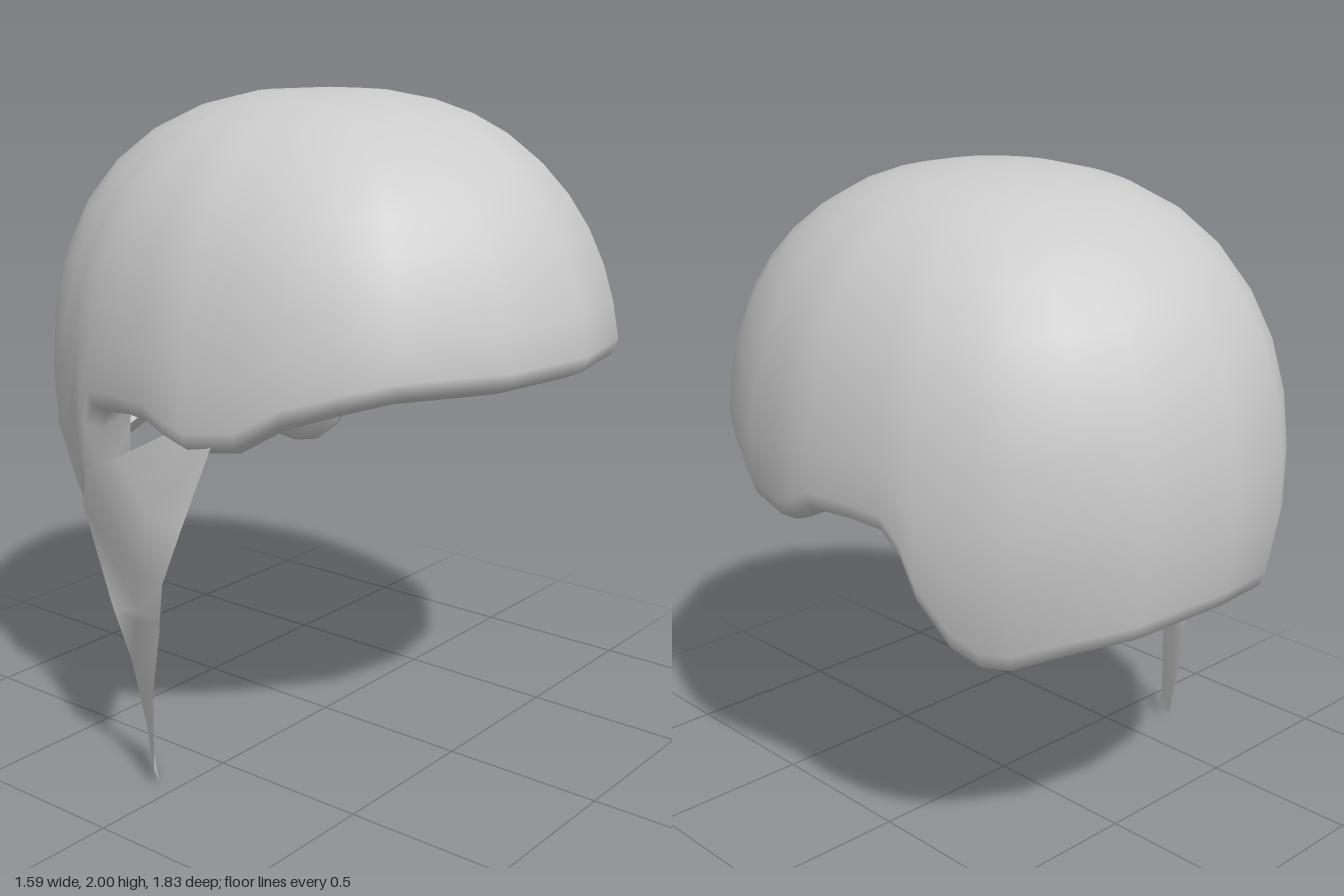
import * as THREE from 'three';

const material = () => new THREE.MeshStandardMaterial({ color: 0xcccccc, side: THREE.DoubleSide });

// Height of the rim's underside against depth, from front to back
const RIM = [
  [0.86, 1.235], [0.8, 1.23], [0.62, 1.22], [0.5, 1.185], [0.37, 1.14], [0.25, 1.065], [0.1, 1.045],
  [0.03, 1.07], [-0.04, 1.105], [-0.17, 1.11], [-0.28, 1.095], [-0.33, 1.03], [-0.37, 0.91], [-0.45, 0.77],
  [-0.52, 0.715], [-0.59, 0.71], [-0.7, 0.765], [-0.8, 0.8], [-0.86, 0.84],
];

// Rolled lip, from its inner edge to the outer edge: radius scale and lift
const LIP = [[0.8, 0.1], [0.86, 0.025], [0.92, 0], [0.98, 0.025]];
const EDGE_LIFT = 0.07;
const ROWS = 10;
const MID = 1.1;
const TOP = 2;

// Radius of the dome at a height, as a share of its widest radius
function domeRadius(y) {
  const h = (y - MID) / (TOP - MID);
  if (h < 0) return 1 - 0.7 * (y - MID) ** 2;
  return Math.pow(Math.max(0, 1 - Math.pow(h, 2.4)), 1 / 2.4);
}

function geometryFrom(positions, indices) {
  const geometry = new THREE.BufferGeometry();
  geometry.setAttribute('position', new THREE.Float32BufferAttribute(positions, 3));
  geometry.setIndex(indices);
  geometry.computeVertexNormals();
  return geometry;
}

function createShell() {
  // Columns run round the head: front to back, then mirrored to the front
  const half = RIM.map(([z, y]) => ({ angle: Math.acos(z / 0.86), y }));
  const mirrored = half.slice(1, -1).reverse().map((c) => ({ angle: -c.angle, y: c.y }));
  const columns = [...half, ...mirrored];
  const n = columns.length;
  const positions = [];
  const indices = [];
  const add = (angle, r, y) =>
    positions.push(0.015 + 0.78 * r * Math.sin(angle), y, 0.92 * r * Math.cos(angle));

  // Lip rings
  for (const [scale, lift] of LIP) {
    for (const c of columns) add(c.angle, scale * domeRadius(c.y + EDGE_LIFT), c.y + lift);
  }
  // Dome rings
  for (let j = 0; j < ROWS; j++) {
    const s = Math.sin((j / ROWS) * Math.PI / 2);
    for (const c of columns) {
      const y = THREE.MathUtils.lerp(c.y + EDGE_LIFT, TOP, s);
      add(c.angle, domeRadius(y), y);
    }
  }
  add(0, 0, TOP);

  const rings = LIP.length + ROWS;
  const apex = rings * n;
  for (let i = 0; i < n; i++) {
    const k = (i + 1) % n;
    for (let j = 0; j < rings - 1; j++) {
      const a = j * n + i, b = j * n + k;
      indices.push(a, b, b + n, a, b + n, a + n);
    }
    indices.push((rings - 1) * n + i, (rings - 1) * n + k, apex);
  }
  const shell = new THREE.Mesh(geometryFrom(positions, indices), material());
  shell.name = 'helmetShell';
  return shell;
}

// Thin strap: rows of three points, front edge to rear edge, top to bottom
function createStrap() {
  const rows = [
    [[-0.73, 1.09, 0.19], [-0.72, 1.1, 0.09], [-0.71, 1.09, 0.01]],
    [[-0.775, 0.84, 0.11], [-0.77, 0.87, -0.03], [-0.71, 0.98, -0.2]],
    [[-0.795, 0.68, 0.055], [-0.8, 0.68, -0.03], [-0.65, 0.9, -0.4]],
    [[-0.76, 0.54, 0.005], [-0.755, 0.55, -0.08], [-0.59, 0.75, -0.48]],
    [[-0.755, 0.52, 0], [-0.75, 0.52, -0.1], [-0.74, 0.53, -0.205]],
    [[-0.74, 0.3, -0.05], [-0.71, 0.32, -0.125], [-0.675, 0.34, -0.2]],
    [[-0.735, 0.05, -0.06], [-0.68, 0.075, -0.13], [-0.62, 0.1, -0.2]],
    [[-0.705, 0, -0.07], [-0.65, 0.03, -0.14], [-0.6, 0.06, -0.21]],
  ];
  const indices = [];
  for (let j = 0; j < rows.length - 1; j++) {
    for (let i = 0; i < 2; i++) {
      const a = j * 3 + i;
      indices.push(a, a + 4, a + 1, a, a + 3, a + 4);
    }
  }
  // The strap's outer side faces -x
  for (let i = 0; i < indices.length; i += 3) {
    [indices[i + 1], indices[i + 2]] = [indices[i + 2], indices[i + 1]];
  }
  const strap = new THREE.Mesh(geometryFrom(rows.flat(2), indices), material());
  strap.name = 'chinStrap';
  return strap;
}

export function createModel() {
  const model = new THREE.Group();
  model.name = 'helmet';
  model.add(createShell(), createStrap());
  return model;
}
